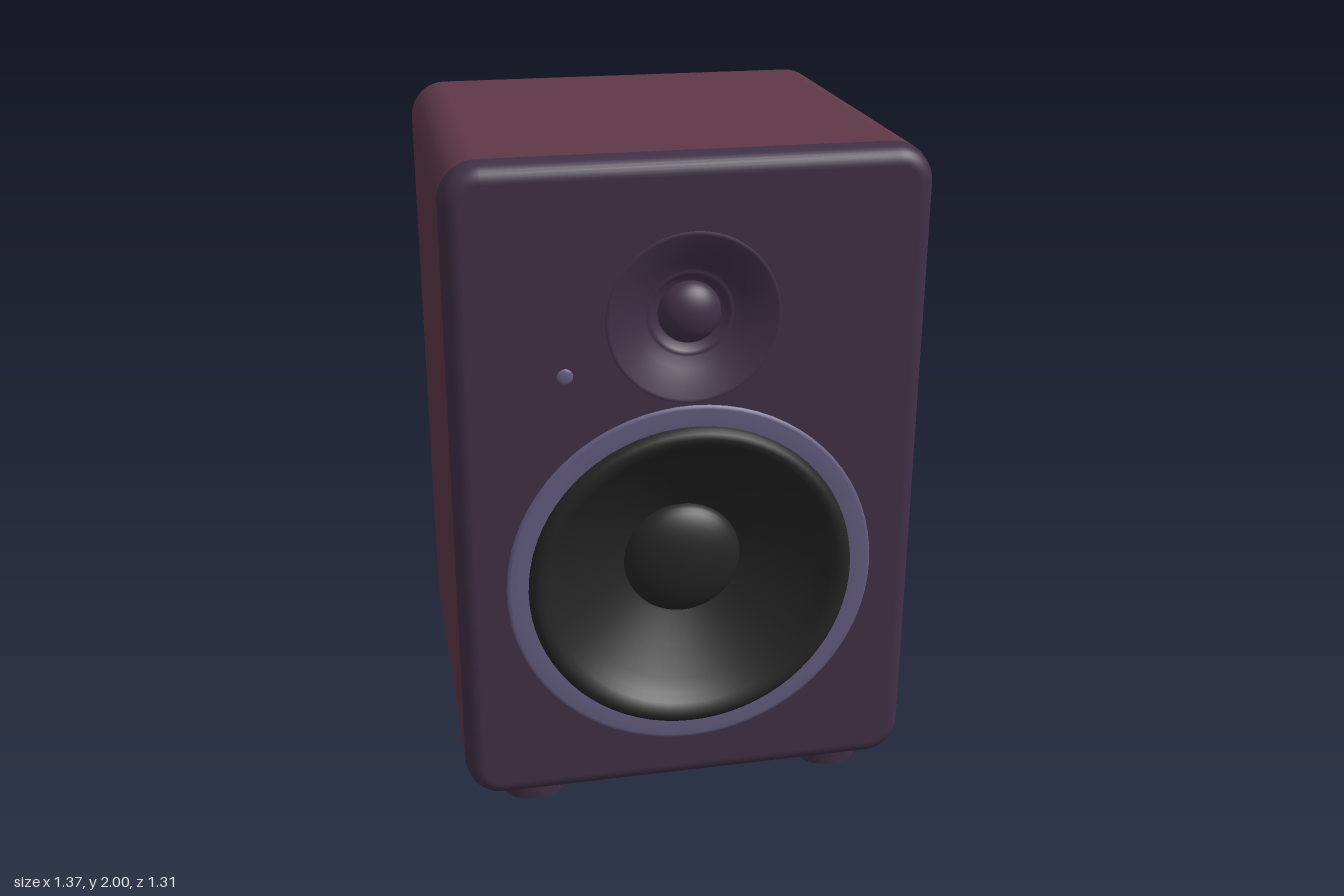
import * as THREE from 'three';

const mat = (name, color) => {
  const m = new THREE.MeshStandardMaterial({ color });
  m.name = name;
  return m;
};

const HALF_W = 0.685, HALF_H = 0.98, MID_Y = 1.02, CORNER = 0.11;

// Rounded-rectangle outline, counter-clockwise; each point is [x, y, normal angle]
function outline(inset) {
  const pts = [];
  const r = CORNER - inset;
  const signs = [[1, 1], [-1, 1], [-1, -1], [1, -1]];
  signs.forEach(([sx, sy], q) => {
    for (let i = 0; i <= 10; i++) {
      const a = (q + i / 10) * Math.PI / 2;
      pts.push([
        sx * (HALF_W - CORNER) + r * Math.cos(a),
        MID_Y + sy * (HALF_H - CORNER) + r * Math.sin(a), a]);
    }
  });
  return pts;
}

// Band through rounded rectangles; each section is [inset, z, tilt of the normal]
function loft(sections) {
  const pos = [], nor = [], idx = [];
  let n = 0;
  sections.forEach(([inset, z, tilt], s) => {
    const ring = outline(inset);
    n = ring.length;
    ring.forEach(([x, y, a], i) => {
      pos.push(x, y, z);
      nor.push(Math.cos(a) * Math.cos(tilt), Math.sin(a) * Math.cos(tilt), Math.sin(tilt));
      if (s === 0) return;
      const j = (i + 1) % n, lo = (s - 1) * n, hi = s * n;
      idx.push(lo + i, lo + j, hi + j, lo + i, hi + j, hi + i);
    });
  });
  const g = new THREE.BufferGeometry();
  g.setAttribute('position', new THREE.Float32BufferAttribute(pos, 3));
  g.setAttribute('normal', new THREE.Float32BufferAttribute(nor, 3));
  g.setIndex(idx);
  return g;
}

export function createModel() {
  const maroon = mat('maroon', 0x5f3848);
  const plum = mat('dark plum', 0x413147);
  const lavender = mat('lavender grey', 0x655e81);
  const black = mat('soft black', 0x252525);
  const model = new THREE.Group();
  model.name = 'speaker';

  const add = (parent, name, geo, material, x = 0, y = 0, z = 0) => {
    const m = new THREE.Mesh(geo, material);
    m.name = name;
    m.position.set(x, y, z);
    parent.add(m);
    return m;
  };
  // Turned part facing +z; profile of [radius, z] runs from the rim inwards
  const turned = (parent, name, profile, material, y) => {
    const pts = profile.map(([r, z]) => new THREE.Vector2(r, z));
    const g = new THREE.LatheGeometry(pts, 72).rotateX(Math.PI / 2);
    return add(parent, name, g, material, 0, y);
  };
  // Spherical cap profile from radius r at height z up to z + h
  const cap = (r, z, h) => Array.from({ length: 11 }, (_, i) => {
    const a = i / 10 * Math.PI / 2;
    return [i === 10 ? 0 : r * Math.cos(a), z + h * Math.sin(a)];
  });

  // Cabinet shell and underside panel
  add(model, 'cabinetShell', loft([[0, -0.575, 0], [0, 0.545, 0]]), maroon);
  add(model, 'undersidePanel', new THREE.BoxGeometry(1.17, 0.008, 1.12), plum, 0, 0.04, -0.015);

  // One end of the cabinet: rounded rim, baffle with openings and both drivers
  function cabinetEnd(name, depth, isFront) {
    const end = new THREE.Group();
    end.name = name;
    const bevel = 0.05;
    const rim = [[0, -depth, 0], [0.004, -depth, 0]];
    for (let i = 0; i <= 8; i++) {
      const a = i / 8 * Math.PI / 2;
      rim.push([0.004 + bevel * (1 - Math.cos(a)), -bevel + bevel * Math.sin(a), a]);
    }
    add(end, 'baffleRim', loft(rim), plum);

    const face = new THREE.Shape(outline(0.004 + bevel).map(([x, y]) => new THREE.Vector2(x, y)));
    [[0.742, 0.52], [1.545, 0.243]].forEach(([y, r]) => {
      face.holes.push(new THREE.Path().absarc(0, y, r, 0, Math.PI * 2, true));
    });
    add(end, 'baffle', new THREE.ShapeGeometry(face, 48), plum);

    // Tweeter
    turned(end, 'tweeterWaveguide', [
      [0.25, -0.002], [0.247, 0.003], [0.238, 0.001], [0.2, -0.014], [0.16, -0.032],
      [0.13, -0.05], [0.122, -0.048], [0.112, -0.05], [0.1, -0.065], [0.08, -0.066]], plum, 1.545);
    turned(end, 'tweeterDome', cap(0.09, -0.066, 0.06), plum, 1.545);

    // Woofer
    const y = 0.742;
    if (isFront) {
      turned(end, 'wooferRing', [
        [0.547, -0.003], [0.545, 0.006], [0.535, 0.008], [0.49, 0.008], [0.478, 0.006]], lavender, y);
      turned(end, 'wooferCone', [
        [0.484, 0.004], [0.48, 0.02], [0.47, 0.031], [0.455, 0.035], [0.438, 0.031],
        [0.42, 0.018], [0.4, -0.004], [0.36, -0.034], [0.28, -0.084], [0.2, -0.126],
        [0.165, -0.14]], black, y);
      turned(end, 'wooferDome', cap(0.178, -0.136, 0.075), black, y);
    } else {
      turned(end, 'wooferRing', [
        [0.545, -0.003], [0.54, 0.006], [0.525, 0.011], [0.505, 0.012], [0.485, 0.004],
        [0.47, 0.006], [0.45, 0.012], [0.425, 0.012]], plum, y);
      turned(end, 'wooferTrim', [[0.427, 0.012], [0.418, 0.012], [0.408, 0.0]], lavender, y);
      turned(end, 'wooferCone', [
        [0.41, 0.002], [0.4, -0.012], [0.36, -0.038], [0.28, -0.086], [0.2, -0.126],
        [0.165, -0.14]], plum, y);
      turned(end, 'wooferDome', cap(0.178, -0.136, 0.075), plum, y);
    }

    // Indicator light
    const led = turned(end, 'indicatorLight', cap(0.023, 0, 0.007), lavender, 1.4);
    led.position.x = isFront ? -0.363 : 0.363;
    model.add(end);
    return end;
  }
  cabinetEnd('frontEnd', 0.075, true).position.z = 0.62;
  const back = cabinetEnd('backEnd', 0.07, false);
  back.position.z = -0.645;
  back.rotation.y = Math.PI;

  // Slanted accent on the left side
  const accent = new THREE.Shape([
    [-0.39, 1.18], [-0.37, 1.18], [-0.33, 1.25], [-0.262, 1.385], [-0.262, 1.4],
    [-0.3, 1.385], [-0.375, 1.29], [-0.39, 1.24]].map(([x, y]) => new THREE.Vector2(x, y)));
  add(model, 'sideAccent', new THREE.ShapeGeometry(accent).rotateY(Math.PI / 2), lavender, 0.687);

  // Feet
  for (const x of [-0.475, 0.475]) {
    for (const z of [0.513, -0.533]) {
      const foot = add(model, 'foot', new THREE.CylinderGeometry(0.097, 0.09, 0.06, 24), plum, x, 0.03, z);
      foot.scale.z = 0.75;
    }
  }
  return model;
}
